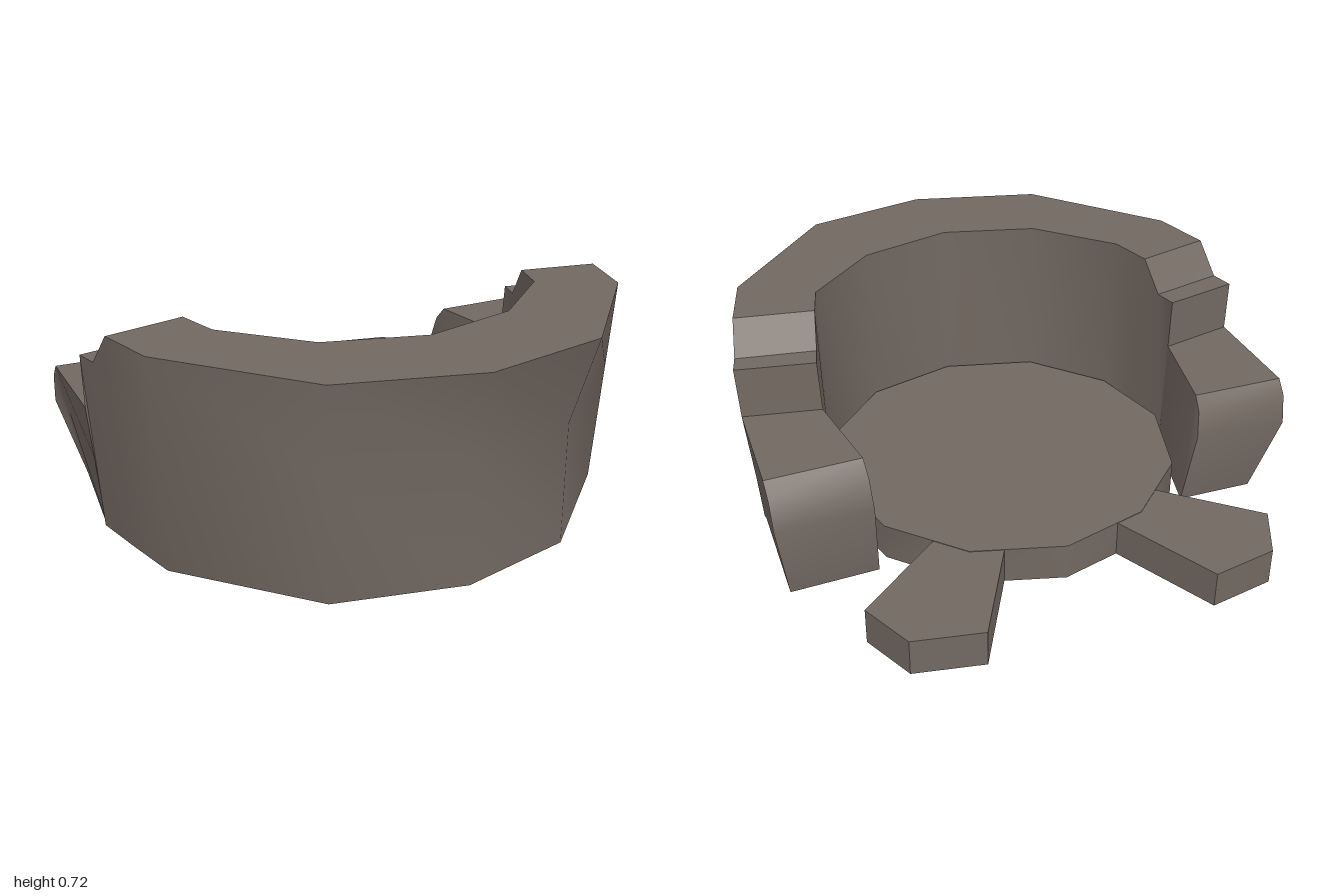
import * as THREE from 'three';
import { toCreasedNormals } from 'three/addons/utils/BufferGeometryUtils.js';

const upholstery = new THREE.MeshStandardMaterial({ color: 0x726861, side: THREE.DoubleSide });
upholstery.name = 'taupe';

// Indexed triangles to a mesh with sharp edges kept
function buildMesh(name, points, index) {
  const geo = new THREE.BufferGeometry();
  geo.setAttribute('position', new THREE.Float32BufferAttribute(points.flat(), 3));
  geo.setIndex(index);
  const mesh = new THREE.Mesh(toCreasedNormals(geo, 0.75), upholstery);
  mesh.name = name;
  return mesh;
}

// Upright prism with an open underside; outline of [x, z] seen from above, anticlockwise
function openPrism(name, outline, h) {
  const n = outline.length, points = [], index = [];
  outline.forEach(([x, z]) => points.push([x, 0, z], [x, h, z]));
  for (let i = 0; i < n; i++) {
    const a = 2 * i, b = 2 * ((i + 1) % n);
    index.push(a, b, b + 1, a, b + 1, a + 1);
    if (i > 1) index.push(1, a - 1, a + 1);
  }
  return buildMesh(name, points, index);
}

// Curved backrest: stations [outer x, outer z, inner x, inner z, height, foot scale, inner foot scale]
function backrest() {
  const stations = [
    [-0.58, 0.715, -0.49, 0.455, 0, 1, 1],          // front end, rounded
    [-0.65, 0.78, -0.53, 0.47, 0.28],
    [-0.63, 0.79, -0.52, 0.475, 0.38],
    [-0.595, 0.80, -0.49, 0.485, 0.43],
    [-0.21, 0.93, -0.185, 0.655, 0.43, 0.955, 0.985],
    [-0.21, 0.935, -0.185, 0.66, 0.61, 0.955, 0.985], // step up
    [-0.125, 0.942, -0.105, 0.667, 0.61, 0.955, 0.98],
    [-0.035, 0.95, -0.02, 0.672, 0.72, 0.955, 0.98],
    [0.19, 0.965, 0.14, 0.68, 0.72, 0.955, 0.97],
    [0.71, 0.74, 0.445, 0.525, 0.72, 0.94, 1],
    [0.96, 0.34, 0.63, 0.235, 0.72, 0.92, 1],
    [1.0, -0.11, 0.645, -0.11, 0.72, 0.91, 1],
    [0.71, -0.61, 0.505, -0.415, 0.72, 0.945, 0.985],
    [0.515, -0.735, 0.39, -0.49, 0.72, 0.95, 0.975],
    [0.445, -0.78, 0.32, -0.535, 0.61, 0.95, 0.975],
    [0.38, -0.82, 0.25, -0.578, 0.61, 0.95, 0.975],   // step down
    [0.37, -0.815, 0.24, -0.575, 0.43, 0.955, 0.975],
    [0, -0.945, -0.09, -0.63, 0.43],
    [-0.045, -0.957, -0.135, -0.64, 0.38],
    [-0.08, -0.967, -0.175, -0.65, 0.28],
    [-0.055, -0.92, -0.14, -0.625, 0, 1, 1],        // back end, rounded
  ];
  const points = [], index = [], last = stations.length - 1;
  stations.forEach(([ox, oz, ix, iz, y, s, t], i) => {
    // The rounded ends share one foot
    const end = stations[i < last / 2 ? 0 : last];
    const foot = s ? [ox * s, oz * s] : [end[0], end[1]];
    const innerFoot = t ? [ix * t, iz * t] : [end[2], end[3]];
    // The two side stations stand upright below and flare above
    const k = s < 0.93 ? 0 : 0.58;
    points.push(
      [innerFoot[0], 0, innerFoot[1]], [ix, y, iz], [ox, y, oz],
      [foot[0] + (ox - foot[0]) * k, y * 0.58, foot[1] + (oz - foot[1]) * k],
      [foot[0], 0, foot[1]]);
  });
  for (let i = 0; i < last; i++) for (let j = 0; j < 4; j++) {
    const a = i * 5 + j, b = a + 1, c = b + 5, d = a + 5;
    index.push(a, b, c, a, c, d);
  }
  return buildMesh('backrest', points, index);
}

export function createModel() {
  const group = new THREE.Group();
  group.name = 'roundSeat';

  // Twelve-sided seat base
  group.add(openPrism('seatBase', [
    [-0.10, -0.57], [-0.385, -0.43], [-0.565, -0.16], [-0.58, 0.16], [-0.44, 0.45], [-0.17, 0.63],
    [0.14, 0.65], [0.44, 0.515], [0.62, 0.23], [0.635, -0.11], [0.485, -0.39], [0.22, -0.55],
  ], 0.132));

  // Two spreading feet
  group.add(openPrism('frontFoot',
    [[-0.97, 0.12], [-1.0, 0.35], [-0.855, 0.49], [-0.52, 0.29], [-0.575, 0.055]], 0.13));
  group.add(openPrism('backFoot',
    [[-0.41, -0.855], [-0.61, -0.83], [-0.725, -0.62], [-0.45, -0.335], [-0.265, -0.49]], 0.13));

  group.add(backrest());
  return group;
}
